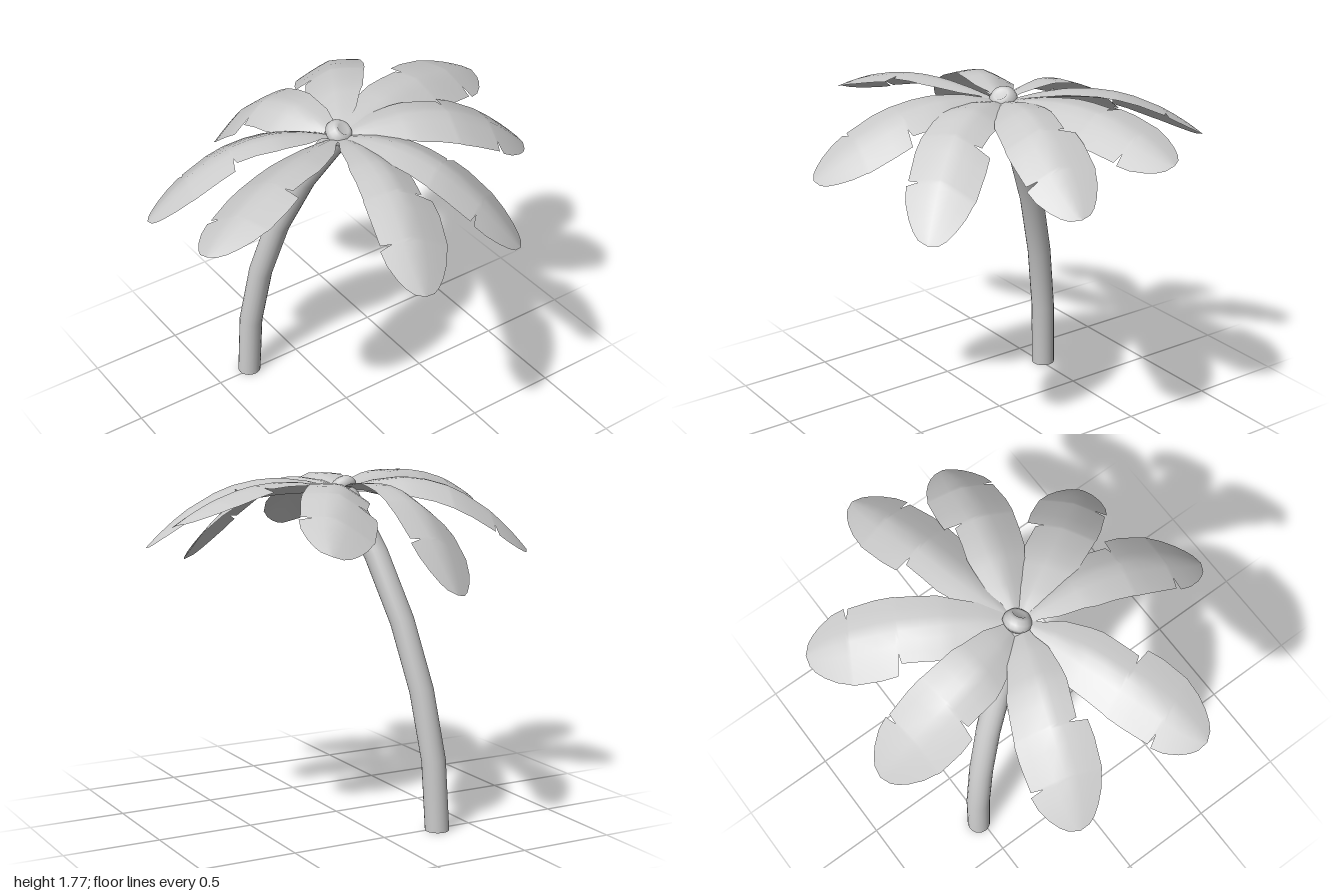
import * as THREE from 'three';

const grey = new THREE.MeshStandardMaterial({ color: 0xcccccc });
const thin = new THREE.MeshStandardMaterial({ color: 0xcccccc, side: THREE.DoubleSide });

// Leaf outline: fraction of length, left half width, right half width.
// Sudden dips are the torn slits between lobes.
const OUTLINE = [
  [0, 0.02, 0.02], [0.1, 0.05, 0.06], [0.18, 0.1, 0.1], [0.3, 0.13, 0.13],
  [0.36, 0.14, 0.15], [0.45, 0.135, 0.16], [0.55, 0.13, 0.17], [0.56, 0.09, 0.172],
  [0.57, 0.178, 0.174], [0.65, 0.185, 0.175], [0.78, 0.178, 0.165], [0.79, 0.175, 0.11],
  [0.8, 0.17, 0.17], [0.86, 0.15, 0.155], [0.92, 0.115, 0.12], [0.96, 0.082, 0.085],
  [0.985, 0.05, 0.052], [1, 0, 0],
];
const ACROSS = [-1, -0.66, -0.33, 0, 0.33, 0.66, 1];

// Tip, sideways bow, roll (positive lowers the left edge) and initial rise of each leaf
const LEAVES = [
  { tip: [1.0, 1.6, -0.28], bow: 0, roll: -0.25, rise: 0.29 },
  { tip: [0.95, 1.43, 0.22], bow: -0.03, roll: -0.17, rise: 0.35 },
  { tip: [0.5, 1.28, 0.76], bow: -0.03, roll: 0.15, rise: 0.34 },
  { tip: [-0.22, 1.42, 0.94], bow: 0.055, roll: 0.25, rise: 0.32 },
  { tip: [-0.99, 1.6, 0.33], bow: 0.01, roll: -0.28, rise: 0.29 },
  { tip: [-0.93, 1.37, -0.35], bow: -0.02, roll: -0.25, rise: 0.34 },
  { tip: [-0.13, 1.28, -0.94], bow: 0.06, roll: 0.36, rise: 0.33 },
  { tip: [0.51, 1.5, -0.9], bow: 0.01, roll: 0.34, rise: 0.31 },
];
const CROWN = new THREE.Vector3(-0.02, 1.69, -0.03);

function leafGeometry({ tip: [tx, ty, tz], bow, roll, rise }) {
  const dx = tx - CROWN.x, dz = tz - CROWN.z;
  const length = Math.hypot(dx, dz);
  const ux = dx / length, uz = dz / length;
  const fall = CROWN.y + rise - ty;
  const positions = [], index = [];
  const n = ACROSS.length;

  OUTLINE.forEach(([s, left, right], row) => {
    for (const a of ACROSS) {
      const w = a * (a > 0 ? left : right);
      const side = w + bow * Math.sin(Math.PI * s);
      // arched midrib with both halves folding down from it
      const droop = 0.06 * Math.pow(Math.abs(w) / 0.18, 1.25) + roll * w;
      positions.push(
        CROWN.x + ux * s * length + uz * side,
        CROWN.y + rise * s - fall * Math.pow(s, 2.3) - droop,
        CROWN.z + uz * s * length - ux * side,
      );
    }
    if (row === 0) return;
    for (let i = 0; i < n - 1; i++) {
      const p = (row - 1) * n + i, q = p + n;
      index.push(p, q, p + 1, p + 1, q, q + 1);
    }
  });

  const geometry = new THREE.BufferGeometry();
  geometry.setAttribute('position', new THREE.Float32BufferAttribute(positions, 3));
  geometry.setIndex(index);
  geometry.computeVertexNormals();
  return geometry;
}

export function createModel() {
  const group = new THREE.Group();
  const add = (name, geometry, material = grey) => {
    const mesh = new THREE.Mesh(geometry, material);
    mesh.name = name;
    group.add(mesh);
    return mesh;
  };

  // Leaning, curved trunk
  const path = new THREE.CatmullRomCurve3([
    [-0.3, 0, -0.517], [-0.285, 0.36, -0.5], [-0.245, 0.72, -0.44],
    [-0.185, 1.07, -0.34], [-0.11, 1.4, -0.2], [-0.025, 1.69, -0.035],
  ].map((p) => new THREE.Vector3(...p)));
  const trunk = new THREE.TubeGeometry(path, 5, 0.062, 20);
  const pos = trunk.attributes.position;
  for (let i = 0; i < pos.count; i++) if (pos.getY(i) < 0.02) pos.setY(i, 0);
  add('trunk', trunk);

  // Flat foot of the trunk
  const foot = add('trunkFoot', new THREE.CircleGeometry(0.062, 20));
  foot.rotation.x = Math.PI / 2;
  foot.position.set(-0.3, 0, -0.517);

  // Rounded bud tipped forward on top of the trunk
  const profile = [[0, -0.035], [0.055, -0.035], [0.072, -0.01], [0.068, 0.015],
    [0.052, 0.036], [0.036, 0.044], [0.03, 0.038], [0, 0.038]];
  const bud = add('crownBud', new THREE.LatheGeometry(
    profile.map(([x, y]) => new THREE.Vector2(x, y)), 20));
  bud.position.set(-0.018, 1.708, -0.035);
  bud.quaternion.setFromUnitVectors(
    new THREE.Vector3(0, 1, 0), new THREE.Vector3(0.35, 1, 0.7).normalize());

  // Ring of broad, torn leaves
  LEAVES.forEach((leaf, i) => add(`leaf${i + 1}`, leafGeometry(leaf), thin));

  return group;
}
